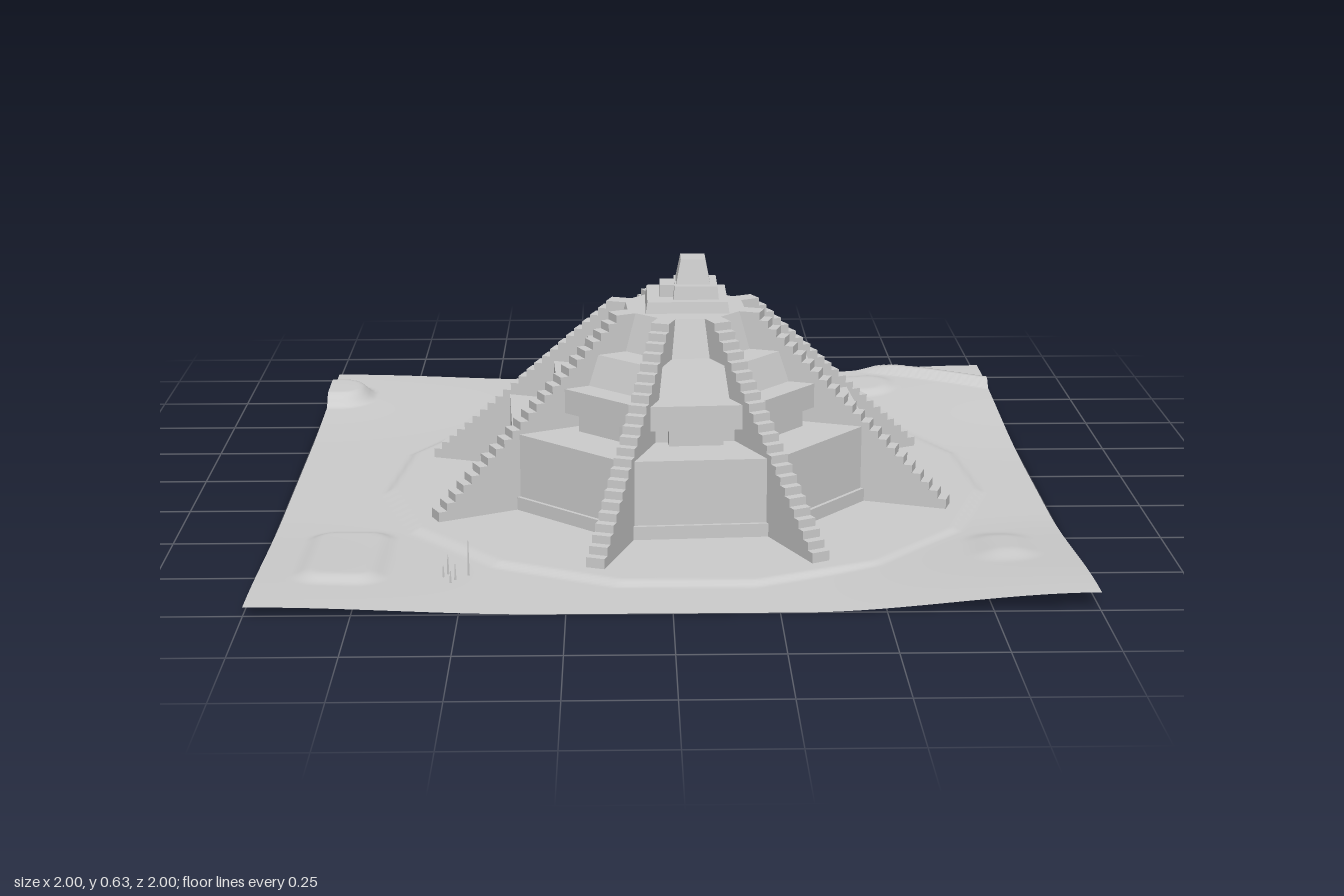
import * as THREE from 'three';

const CX = 0.052, CZ = 0.037;      // pyramid centre
const FLOOR = 0.018;               // height of the paved disc
const TURN = -19 * Math.PI / 180;  // turn of the octagon
const stone = new THREE.MeshStandardMaterial({ color: 0xcccccc, flatShading: true });
const earth = new THREE.MeshStandardMaterial({ color: 0xcccccc, side: THREE.DoubleSide });

function add(parent, name, geometry, material = stone) {
  const mesh = new THREE.Mesh(geometry, material);
  mesh.name = name;
  parent.add(mesh);
  return mesh;
}

const smooth = (a, b, v) => THREE.MathUtils.smoothstep(v, a, b);

// Flat-topped mound with a rounded rectangular outline
function mound(x, z, cx, cz, hx, hz, round, height, soft = 0.05) {
  const dx = Math.max(Math.abs(x - cx) - hx + round, 0);
  const dz = Math.max(Math.abs(z - cz) - hz + round, 0);
  return height * (1 - smooth(-soft, 0, Math.hypot(dx, dz) - round));
}

function groundHeight(x, z) {
  // Distance from the pyramid, measured to a 15-sided outline
  const dx = x - CX, dz = z - CZ, step = Math.PI * 2 / 15;
  const angle = Math.atan2(dz, dx) - 7 * Math.PI / 180;
  const local = angle - step * Math.floor(angle / step) - step / 2;
  const d = Math.hypot(dx, dz) * Math.cos(local) / Math.cos(step / 2);
  const disc = 1 - smooth(0.785, 0.81, d);
  // Land rising softly to the corners
  const far = (cx, cz, r) => 1 - smooth(0, r, Math.hypot(x - cx, z - cz));
  let h = 0.008 + 0.045 * far(1, 1, 0.7) + 0.04 * far(1, -1, 0.9)
    + 0.022 * far(-1, 1, 0.7) + 0.02 * far(-1, -1, 0.7);
  // Low mounds and the bank across the back corner
  h += mound(x, z, -0.99, -0.77, 0.13, 0.11, 0.1, 0.035);
  h += mound(x, z, -0.8, 0.63, 0.12, 0.21, 0.08, 0.014);
  h += mound(x, z, 0.83, 0.6, 0.1, 0.14, 0.09, 0.014, 0.09);
  h += mound(x, z, 0.45, -0.83, 0.28, 0.11, 0.1, 0.012);
  h += mound(x, z, -0.3, -0.8, 0.2, 0.13, 0.13, 0.01, 0.1);
  const bank = Math.abs((z + 0.9) * 0.86 - (x - 0.83) * 0.51);
  h += 0.022 * (1 - smooth(0.012, 0.03, bank)) * smooth(0.6, 0.75, x);
  return THREE.MathUtils.lerp(h, FLOOR, disc);
}

function makeGround() {
  const geometry = new THREE.PlaneGeometry(2, 2, 170, 170).rotateX(-Math.PI / 2);
  const p = geometry.attributes.position;
  let lowest = Infinity;
  for (let i = 0; i < p.count; i++) {
    p.setY(i, groundHeight(p.getX(i), p.getZ(i)));
    lowest = Math.min(lowest, p.getY(i));
  }
  geometry.translate(0, -lowest, 0);
  geometry.computeVertexNormals();
  return geometry;
}

// Eight-sided frustum given by its corner radii and heights
function tier(bottomR, topR, y0, y1) {
  return new THREE.CylinderGeometry(topR, bottomR, y1 - y0, 8, 1).translate(0, (y0 + y1) / 2, 0);
}

// Side profile of a stepped buttress, swept across its width
function makeStair(width) {
  const steps = 23, outer = 0.725, inner = 0.19, y0 = 0.015, y1 = 0.5;
  const run = (outer - inner) / steps, rise = (y1 - y0) / steps;
  const shape = new THREE.Shape();
  shape.moveTo(0.14, 0);
  shape.lineTo(outer, 0);
  for (let i = 0; i < steps; i++) {
    shape.lineTo(outer - i * run, y0 + (i + 1) * rise);
    shape.lineTo(outer - (i + 1) * run, y0 + (i + 1) * rise);
  }
  shape.lineTo(0.14, y1);
  shape.closePath();
  const geometry = new THREE.ExtrudeGeometry(shape, { depth: width, bevelEnabled: false });
  return geometry.translate(0, 0, -width / 2).rotateY(-Math.PI / 2);
}

// Box between two corners; taper shrinks the top face
function block(x0, x1, y0, y1, z0, z1, taper = 1) {
  const geometry = new THREE.BoxGeometry(x1 - x0, y1 - y0, z1 - z0);
  const p = geometry.attributes.position;
  for (let i = 0; i < p.count; i++) {
    if (p.getY(i) > 0) p.setXYZ(i, p.getX(i) * taper, p.getY(i), p.getZ(i) * taper);
  }
  return geometry.translate((x0 + x1) / 2, (y0 + y1) / 2, (z0 + z1) / 2);
}

export function createModel() {
  const model = new THREE.Group();
  model.name = 'steppedPyramid';
  add(model, 'ground', makeGround(), earth);

  const pyramid = new THREE.Group();
  pyramid.name = 'pyramid';
  pyramid.position.set(CX, 0, CZ);
  pyramid.rotation.y = TURN;
  model.add(pyramid);

  // Octagonal tiers from plinth to platform
  add(pyramid, 'plinth', tier(0.515, 0.515, 0.005, 0.045));
  add(pyramid, 'lowerTier', tier(0.505, 0.505, 0.045, 0.214));
  add(pyramid, 'recessedWall', tier(0.335, 0.335, 0.214, 0.26));
  add(pyramid, 'overhangingTier', tier(0.375, 0.375, 0.255, 0.32));
  add(pyramid, 'thirdTier', tier(0.305, 0.277, 0.32, 0.4));
  add(pyramid, 'topTier', tier(0.197, 0.168, 0.4, 0.5));

  // Stairs on the corners, piers in the middle of the faces
  const stair = makeStair(0.048);
  const pier = block(-0.07, 0.07, 0.21, 0.258, 0.28, 0.345);
  for (let i = 0; i < 8; i++) {
    add(pyramid, 'stair', stair).rotation.y = i * Math.PI / 4;
    add(pyramid, 'pier', pier).rotation.y = (i + 0.5) * Math.PI / 4;
  }

  // Shrine on the summit
  const shrine = new THREE.Group();
  shrine.name = 'shrine';
  model.add(shrine);
  add(shrine, 'shrineBase', block(-0.053, 0.167, 0.5, 0.53, -0.07, 0.135, 0.96));
  add(shrine, 'shrineBody', block(0.02, 0.14, 0.53, 0.565, -0.035, 0.105, 0.94));
  add(shrine, 'shrineStep', block(-0.015, 0.03, 0.53, 0.563, 0, 0.075));
  add(shrine, 'shrineCap', block(0.028, 0.118, 0.565, 0.63, -0.015, 0.078, 0.72));

  // Thin poles standing near the front edge
  const poles = [[-0.54, 0.75, 0.05], [-0.49, 0.76, 0.09], [-0.52, 0.79, 0.04], [-0.53, 0.81, 0.03], [-0.55, 0.77, 0.03]];
  for (const [x, z, height] of poles) {
    const geometry = new THREE.CylinderGeometry(0.001, 0.003, height, 5).translate(0, height / 2, 0);
    add(model, 'pole', geometry).position.set(x, 0.008, z);
  }
  return model;
}
